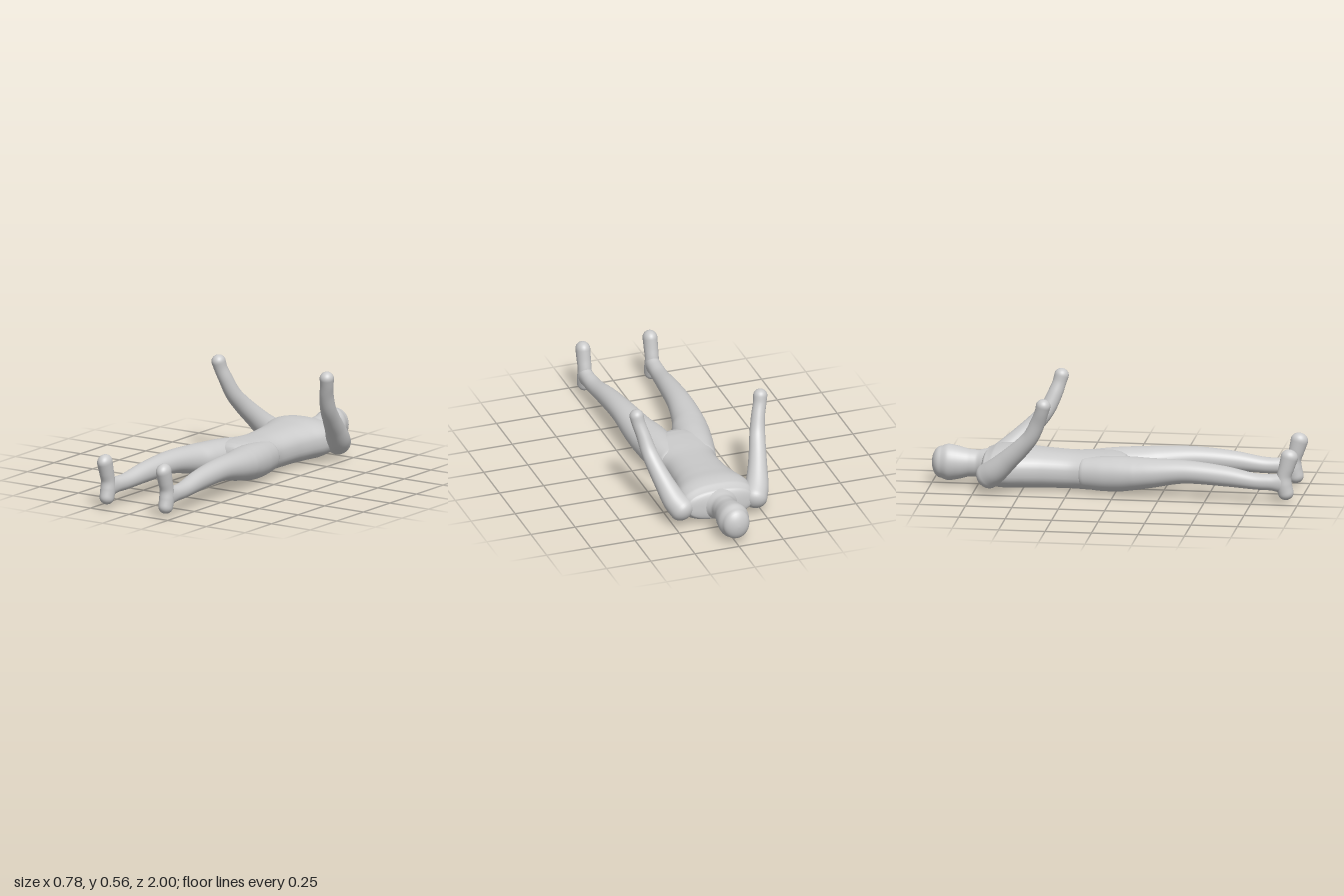
import * as THREE from 'three';

const material = new THREE.MeshStandardMaterial({ color: 0xcccccc, roughness: 0.8 });
const SIDES = 40;

// Smooth loft through rings [x, y, z, halfWidth, halfDepth] with rounded ends.
// power > 2 squares the cross-section off; caps are the lengths of the end domes.
function loft(name, rings, { side = 1, steps = 40, power = 2, caps = [0.04, 0.04] } = {}) {
  const path = new THREE.CatmullRomCurve3(rings.map(r => new THREE.Vector3(r[0] * side, r[1], r[2])));
  const size = new THREE.CatmullRomCurve3(rings.map(r => new THREE.Vector3(r[3], r[4], 0)));
  const stations = [];
  const DOME = 8;
  for (let i = 0; i < DOME; i++) {
    const a = (i / DOME) * Math.PI / 2;
    stations.push([0, -Math.cos(a) * caps[0], Math.sin(a)]);
  }
  for (let i = 0; i <= steps; i++) stations.push([i / steps, 0, 1]);
  for (let i = DOME - 1; i >= 0; i--) {
    const a = (i / DOME) * Math.PI / 2;
    stations.push([1, Math.cos(a) * caps[1], Math.sin(a)]);
  }

  const positions = [], index = [];
  stations.forEach(([s, push, scale], i) => {
    const t = path.getTangent(s);
    const u = new THREE.Vector3(1, 0, 0).addScaledVector(t, -t.x).normalize();
    const v = new THREE.Vector3().crossVectors(t, u);
    const c = path.getPoint(s).addScaledVector(t, push);
    const r = size.getPoint(s).multiplyScalar(scale);
    for (let j = 0; j < SIDES; j++) {
      const a = (j / SIDES) * Math.PI * 2;
      const round = w => Math.sign(w) * Math.pow(Math.abs(w), 2 / power);
      const p = c.clone()
        .addScaledVector(u, round(Math.cos(a)) * r.x)
        .addScaledVector(v, round(Math.sin(a)) * r.y);
      positions.push(p.x, p.y, p.z);
      if (i < stations.length - 1) {
        const k = (j + 1) % SIDES, n = i * SIDES, m = n + SIDES;
        index.push(n + j, n + k, m + k, n + j, m + k, m + j);
      }
    }
  });
  const geometry = new THREE.BufferGeometry();
  geometry.setAttribute('position', new THREE.Float32BufferAttribute(positions, 3));
  geometry.setIndex(index);
  geometry.computeVertexNormals();
  const mesh = new THREE.Mesh(geometry, material);
  mesh.name = name;
  return mesh;
}

export function createModel() {
  const model = new THREE.Group();
  model.name = 'lyingFigure';

  // Head and neck, flaring into the shoulders
  model.add(loft('headAndNeck', [
    [0, 0.118, -0.95, 0.074, 0.086],
    [0, 0.118, -0.91, 0.086, 0.098],
    [0, 0.118, -0.86, 0.081, 0.09],
    [0, 0.118, -0.80, 0.068, 0.075],
    [0, 0.117, -0.76, 0.067, 0.073],
    [0, 0.115, -0.725, 0.085, 0.08],
    [0, 0.112, -0.68, 0.13, 0.09],
  ], { caps: [0.05, 0.03] }));

  // Torso, from shoulders to crotch
  model.add(loft('torso', [
    [0, 0.115, -0.70, 0.185, 0.083],
    [0, 0.113, -0.66, 0.205, 0.102],
    [0, 0.114, -0.60, 0.206, 0.109],
    [0, 0.111, -0.50, 0.178, 0.106],
    [0, 0.108, -0.40, 0.155, 0.102],
    [0, 0.104, -0.25, 0.145, 0.098],
    [0, 0.104, -0.13, 0.168, 0.099],
    [0, 0.107, -0.04, 0.185, 0.096],
    [0, 0.112, 0.02, 0.145, 0.086],
    [0, 0.115, 0.045, 0.09, 0.075],
  ], { steps: 60, power: 2.4, caps: [0.025, 0.022] }));

  for (const [label, side] of [['left', 1], ['right', -1]]) {
    // Leg, from inside the hip to the ankle
    model.add(loft(label + 'Leg', [
      [0.085, 0.104, -0.16, 0.08, 0.085],
      [0.096, 0.107, -0.06, 0.094, 0.093],
      [0.106, 0.112, 0.03, 0.101, 0.094],
      [0.122, 0.121, 0.12, 0.099, 0.087],
      [0.139, 0.130, 0.20, 0.087, 0.079],
      [0.158, 0.147, 0.38, 0.068, 0.062],
      [0.172, 0.134, 0.60, 0.054, 0.054],
      [0.184, 0.114, 0.77, 0.044, 0.043],
      [0.188, 0.113, 0.85, 0.041, 0.043],
      [0.19, 0.112, 0.91, 0.039, 0.055],
    ], { side, steps: 60, power: 2.1, caps: [0.05, 0.02] }));

    // Foot, heel to toe
    model.add(loft(label + 'Foot', [
      [0.19, 0.058, 0.932, 0.038, 0.042],
      [0.19, 0.10, 0.922, 0.040, 0.043],
      [0.19, 0.15, 0.922, 0.037, 0.039],
      [0.19, 0.20, 0.936, 0.038, 0.042],
      [0.19, 0.255, 0.951, 0.039, 0.047],
    ], { side, caps: [0.038, 0.041] }));

    // Arm, bent upward at the elbow
    model.add(loft(label + 'Arm', [
      [0.205, 0.100, -0.67, 0.068, 0.070],
      [0.232, 0.135, -0.627, 0.064, 0.066],
      [0.262, 0.205, -0.555, 0.053, 0.056],
      [0.287, 0.275, -0.485, 0.046, 0.049],
      [0.307, 0.345, -0.426, 0.042, 0.043],
      [0.326, 0.43, -0.385, 0.037, 0.040],
      [0.343, 0.49, -0.363, 0.036, 0.037],
      [0.350, 0.53, -0.352, 0.038, 0.039],
    ], { side, steps: 50, caps: [0.055, 0.036] }));
  }
  return model;
}
